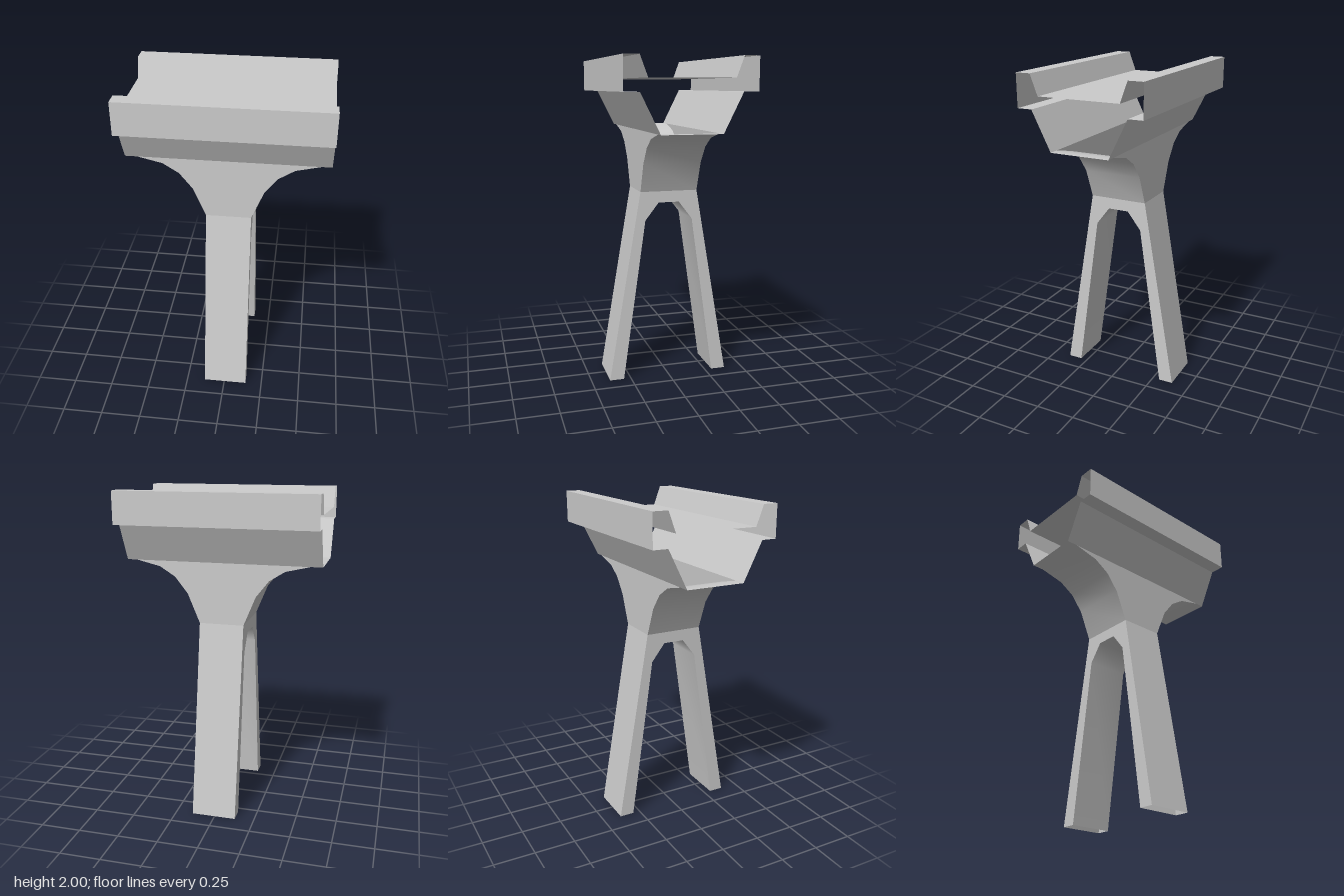
import * as THREE from 'three';

const material = new THREE.MeshStandardMaterial({ color: 0xcccccc, side: THREE.DoubleSide });

function addMesh(group, name, geometry) {
  const mesh = new THREE.Mesh(geometry, material);
  mesh.name = name;
  group.add(mesh);
  return mesh;
}

// Sweeps an open profile straight across; at(u, v, t) places a point at end t = -1 or 1
function ribbon(profile, at, smooth) {
  const positions = [];
  const index = [];
  profile.forEach(([u, v], i) => {
    positions.push(...at(u, v, -1), ...at(u, v, 1));
    if (i > 0) {
      const p = 2 * (i - 1), q = 2 * i;
      index.push(p, q, q + 1, p, q + 1, p + 1);
    }
  });
  let geometry = new THREE.BufferGeometry();
  geometry.setAttribute('position', new THREE.Float32BufferAttribute(positions, 3));
  geometry.setIndex(index);
  if (!smooth) geometry = geometry.toNonIndexed();
  geometry.computeVertexNormals();
  return geometry;
}

const mirrored = (points) => points.map(([u, v]) => [-u, v]).reverse();
const flatFace = (points) =>
  new THREE.ShapeGeometry(new THREE.Shape(points.map(([u, v]) => new THREE.Vector2(u, v))));

export function createModel() {
  const model = new THREE.Group();
  model.name = 'troughStand';

  const halfLength = 0.6;   // trough, along x
  const neckDepth = 0.18;   // half depth of the neck
  const legWidth = 0.1375;  // half width of the legs
  const offset = 0.006;     // legs sit slightly off centre

  // Open-ended hollow trough: sloped sides, raised rims and a sunken floor (z, y)
  const section = [
    [neckDepth, 1.575], [0.295, 1.805], [0.385, 1.805],
    [0.385, 2], [0.295, 2], [0.25, 1.88],
  ];
  const troughProfile = [...section.map(([z, y]) => [-z, y]), ...section.slice().reverse()];
  addMesh(model, 'trough', ribbon(troughProfile, (z, y, t) => [t * halfLength, y, z], false));

  // Curved undersides that spread from the legs to the trough ends (x, y)
  const flare = [[legWidth, 1.2], [0.212, 1.38], [0.291, 1.48], [0.386, 1.54], [0.534, 1.575]];
  const tip = [halfLength, 1.575];
  const shift = (points) => points.map(([x, y]) => [x + offset, y]);
  const rightEdge = [...shift(flare), tip];
  const leftEdge = [[-tip[0], tip[1]], ...shift(mirrored(flare))];
  const acrossNeck = (x, y, t) => [x, y, t * neckDepth];
  addMesh(model, 'leftFlare', ribbon(rightEdge, acrossNeck, true));
  addMesh(model, 'rightFlare', ribbon(leftEdge, acrossNeck, true));

  // Front and back faces of the neck
  for (const side of [1, -1]) {
    const face = addMesh(model, side > 0 ? 'neckFront' : 'neckBack', flatFace([...leftEdge, ...rightEdge]));
    face.position.z = side * neckDepth;
  }

  // Splayed hollow legs joined by an arch, open at the feet (z, y)
  const legs = new THREE.Group();
  legs.name = 'legs';
  legs.position.x = offset;
  model.add(legs);
  const inner = [[0.295, 0], [0.15, 1.02], [0.065, 1.13]];
  const arch = [...inner, ...mirrored(inner)];
  const outer = [[neckDepth, 1.2], [0.385, 0]];
  const acrossLeg = (z, y, t) => [t * legWidth, y, z];
  addMesh(legs, 'legArch', ribbon(arch, acrossLeg, true));
  addMesh(legs, 'frontLeg', ribbon(outer, acrossLeg, false));
  addMesh(legs, 'backLeg', ribbon(mirrored(outer), acrossLeg, false));

  // Left and right sides of the legs
  for (const side of [1, -1]) {
    const cheek = flatFace([...outer, ...arch, ...mirrored(outer)]);
    cheek.rotateY(side * Math.PI / 2);
    addMesh(legs, side > 0 ? 'leftLegSide' : 'rightLegSide', cheek).position.x = side * legWidth;
  }

  return model;
}
